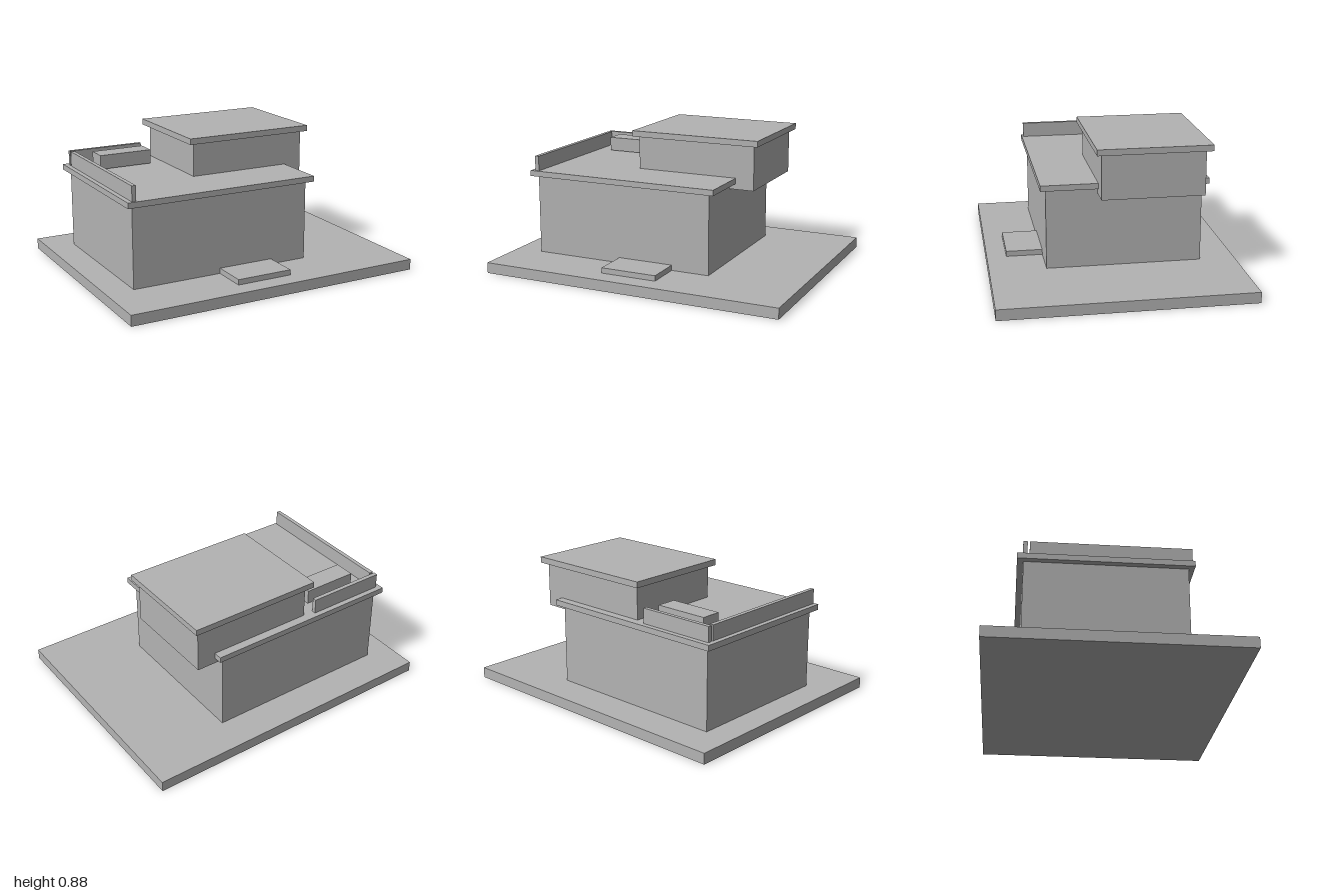
import * as THREE from 'three';

export function createModel() {
  const house = new THREE.Group();
  house.name = 'house';
  const concrete = new THREE.MeshStandardMaterial({ color: 0xb3b3b3 });
  concrete.name = 'concrete grey';

  // Adds a box spanning the given [min, max] ranges
  function block(name, [x0, x1], [y0, y1], [z0, z1]) {
    const mesh = new THREE.Mesh(new THREE.BoxGeometry(x1 - x0, y1 - y0, z1 - z0), concrete);
    mesh.name = name;
    mesh.position.set((x0 + x1) / 2, (y0 + y1) / 2, (z0 + z1) / 2);
    house.add(mesh);
  }

  // Ground plate and entrance step
  block('groundPlate', [-1, 1], [0, 0.07], [-0.795, 0.795]);
  block('entranceStep', [-0.225, 0.15], [0.07, 0.105], [0.432, 0.668]);

  // Lower storey with its overhanging roof slab
  block('lowerStorey', [-0.82, 0.403], [0.07, 0.592], [-0.566, 0.432]);
  block('terraceSlab', [-0.86, 0.445], [0.592, 0.629], [-0.604, 0.468]);

  // Upper storey, cantilevered past the lower one, with its roof
  block('upperStorey', [-0.24, 0.567], [0.556, 0.846], [-0.548, 0.106]);
  block('upperRoof', [-0.277, 0.6], [0.846, 0.885], [-0.586, 0.138]);

  // Terrace parapets and planter
  block('sideParapet', [-0.829, -0.802], [0.629, 0.727], [-0.53, 0.457]);
  block('backParapet', [-0.829, -0.313], [0.629, 0.727], [-0.57, -0.543]);
  block('planter', [-0.7, -0.34], [0.634, 0.727], [-0.465, -0.329]);

  return house;
}
